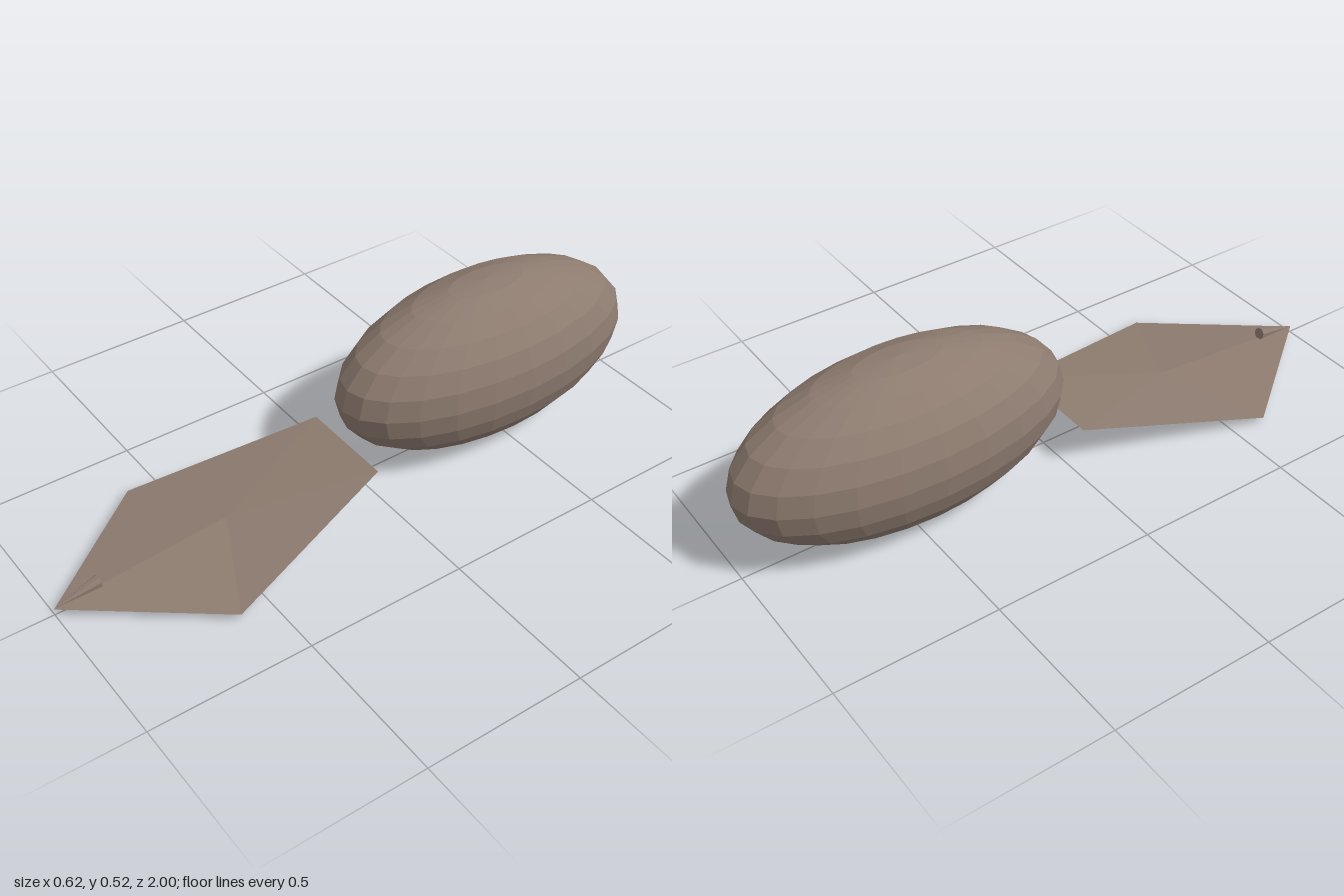
import * as THREE from 'three';

const hide = new THREE.MeshStandardMaterial({ color: 0x8d7b6f, flatShading: true, side: THREE.DoubleSide });
hide.name = 'grey brown hide';

function addPart(group, name, geometry) {
  const mesh = new THREE.Mesh(geometry, hide);
  mesh.name = name;
  group.add(mesh);
  return mesh;
}

// Open five-sided shield, fanned around a raised centre point
function headGeometry() {
  const centre = [0, 0.067, 0.45];
  const rim = [
    [0, 0.02, 1], [0.312, 0.02, 0.6], [0.157, 0.135, 0.03],
    [-0.157, 0.135, 0.03], [-0.312, 0.02, 0.6],
  ];
  const points = [];
  rim.forEach((corner, i) => points.push(...centre, ...corner, ...rim[(i + 1) % rim.length]));
  const geometry = new THREE.BufferGeometry();
  geometry.setAttribute('position', new THREE.Float32BufferAttribute(points, 3));
  geometry.computeVertexNormals();
  return geometry;
}

export function createModel() {
  const model = new THREE.Group();
  model.name = 'creature';

  // Long faceted body
  const body = addPart(model, 'body', new THREE.SphereGeometry(1, 24, 12).scale(0.24, 0.261, 0.523));
  body.position.set(0, 0.261, -0.477);

  // Flat head shield
  addPart(model, 'head', headGeometry());

  // Small cone horn lying back from the snout tip
  const tip = new THREE.Vector3(0, 0.022, 1);
  const base = new THREE.Vector3(0, 0.048, 0.86);
  const axis = tip.clone().sub(base);
  const horn = addPart(model, 'horn', new THREE.ConeGeometry(0.02, axis.length(), 8).rotateY(Math.PI / 8));
  horn.position.copy(base).add(tip).multiplyScalar(0.5);
  horn.quaternion.setFromUnitVectors(new THREE.Vector3(0, 1, 0), axis.normalize());

  return model;
}
